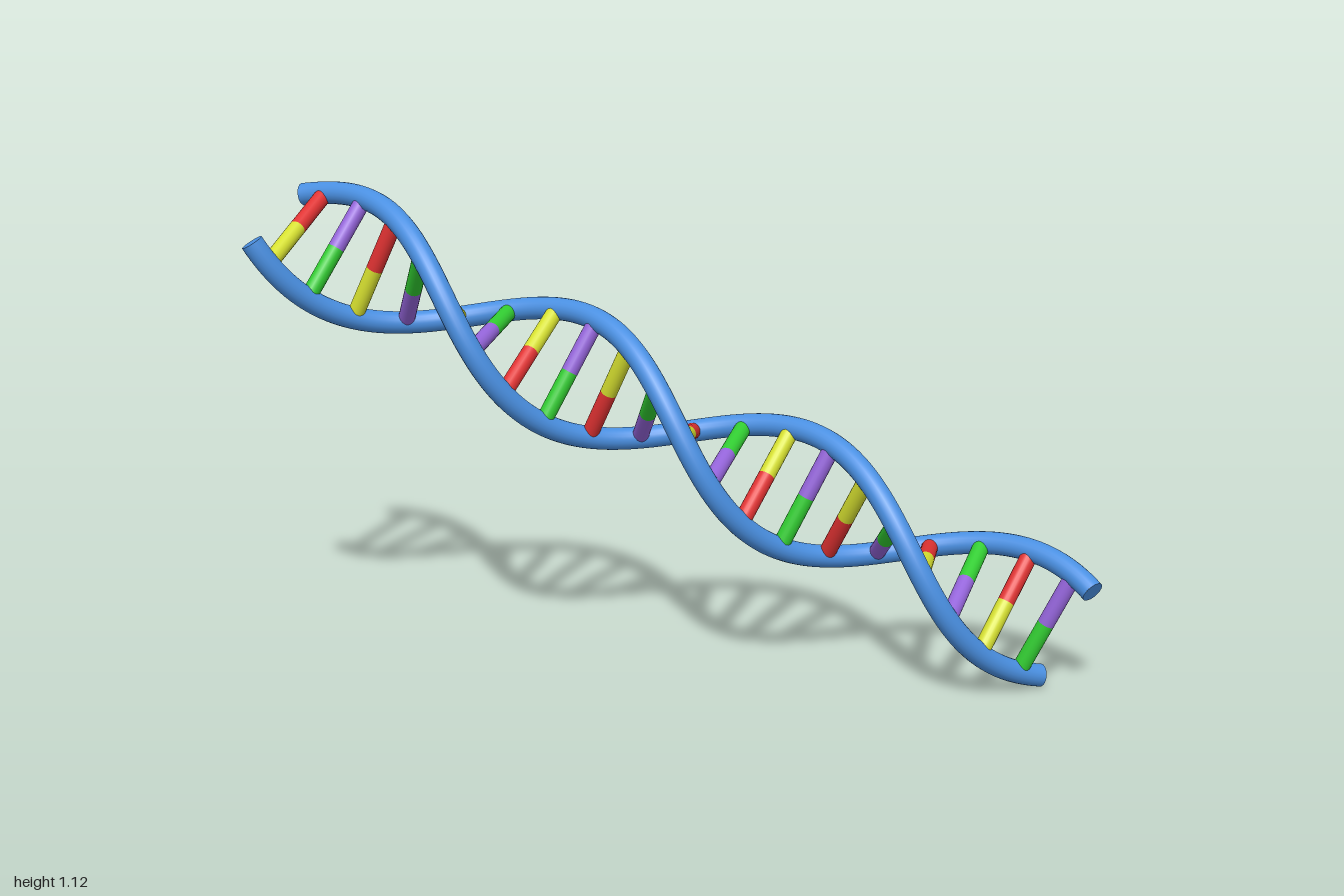
import * as THREE from 'three';

const LENGTH = 2.09, RADIUS = 0.138, STRAND_R = 0.027, RUNG_R = 0.02, RUNGS = 20;
const START = THREE.MathUtils.degToRad(15.75);
const SWEEP = THREE.MathUtils.degToRad(630);

// Point on a strand at t = 0..1, with the axis along x; side is 1 or -1
function helixPoint(t, side) {
  const a = START + SWEEP * t;
  return new THREE.Vector3((t - 0.5) * LENGTH, -side * RADIUS * Math.sin(a), side * RADIUS * Math.cos(a));
}

class Helix extends THREE.Curve {
  constructor(side) {
    super();
    this.side = side;
  }
  getPoint(t, target = new THREE.Vector3()) {
    return target.copy(helixPoint(t, this.side));
  }
}

function material(name, color) {
  const m = new THREE.MeshStandardMaterial({ color });
  m.name = name;
  return m;
}

function addMesh(parent, name, geometry, mat) {
  const mesh = new THREE.Mesh(geometry, mat);
  mesh.name = name;
  parent.add(mesh);
  return mesh;
}

// Rod between two points
function addRod(parent, name, from, to, radius, mat) {
  const dir = to.clone().sub(from);
  const rod = addMesh(parent, name, new THREE.CylinderGeometry(radius, radius, dir.length(), 20), mat);
  rod.position.copy(from).add(to).multiplyScalar(0.5);
  rod.quaternion.setFromUnitVectors(new THREE.Vector3(0, 1, 0), dir.normalize());
}

export function createModel() {
  const blue = material('strand blue', 0x4a90e2);
  const red = material('base red', 0xe03232);
  const green = material('base green', 0x32cd32);
  const purple = material('base purple', 0x9565db);
  const yellow = material('base yellow', 0xd6e030);

  const model = new THREE.Group();
  model.name = 'doubleHelix';
  const helix = new THREE.Group();
  helix.name = 'tiltedHelix';
  helix.rotation.z = -THREE.MathUtils.degToRad(25.6);
  helix.position.set(-0.0175, 0.5965, 0);
  model.add(helix);

  // Two winding strands with flat ends
  for (const side of [1, -1]) {
    const name = side > 0 ? 'firstStrand' : 'secondStrand';
    const curve = new Helix(side);
    addMesh(helix, name, new THREE.TubeGeometry(curve, 160, STRAND_R, 20), blue);
    for (const t of [0, 1]) {
      const cap = addMesh(helix, name + 'End', new THREE.CircleGeometry(STRAND_R, 20), blue);
      const out = curve.getTangentAt(t).multiplyScalar(t ? 1 : -1);
      cap.position.copy(curve.getPointAt(t));
      cap.quaternion.setFromUnitVectors(new THREE.Vector3(0, 0, 1), out);
    }
  }

  // Rungs: Y/R and G/P pairs, the letter being the half on the first strand
  const bases = { Y: [yellow, red], R: [red, yellow], G: [green, purple], P: [purple, green] };
  const order = 'YGYPYGYPYGYPRGRPRGRP';
  for (let i = 0; i < RUNGS; i++) {
    const rung = new THREE.Group();
    rung.name = 'rung' + (i + 1);
    helix.add(rung);
    const t = (i + 0.5) / RUNGS;
    const middle = new THREE.Vector3((t - 0.5) * LENGTH, 0, 0);
    const [first, second] = bases[order[i]];
    addRod(rung, 'firstHalf', middle, helixPoint(t, 1), RUNG_R, first);
    addRod(rung, 'secondHalf', middle, helixPoint(t, -1), RUNG_R, second);
  }
  return model;
}
